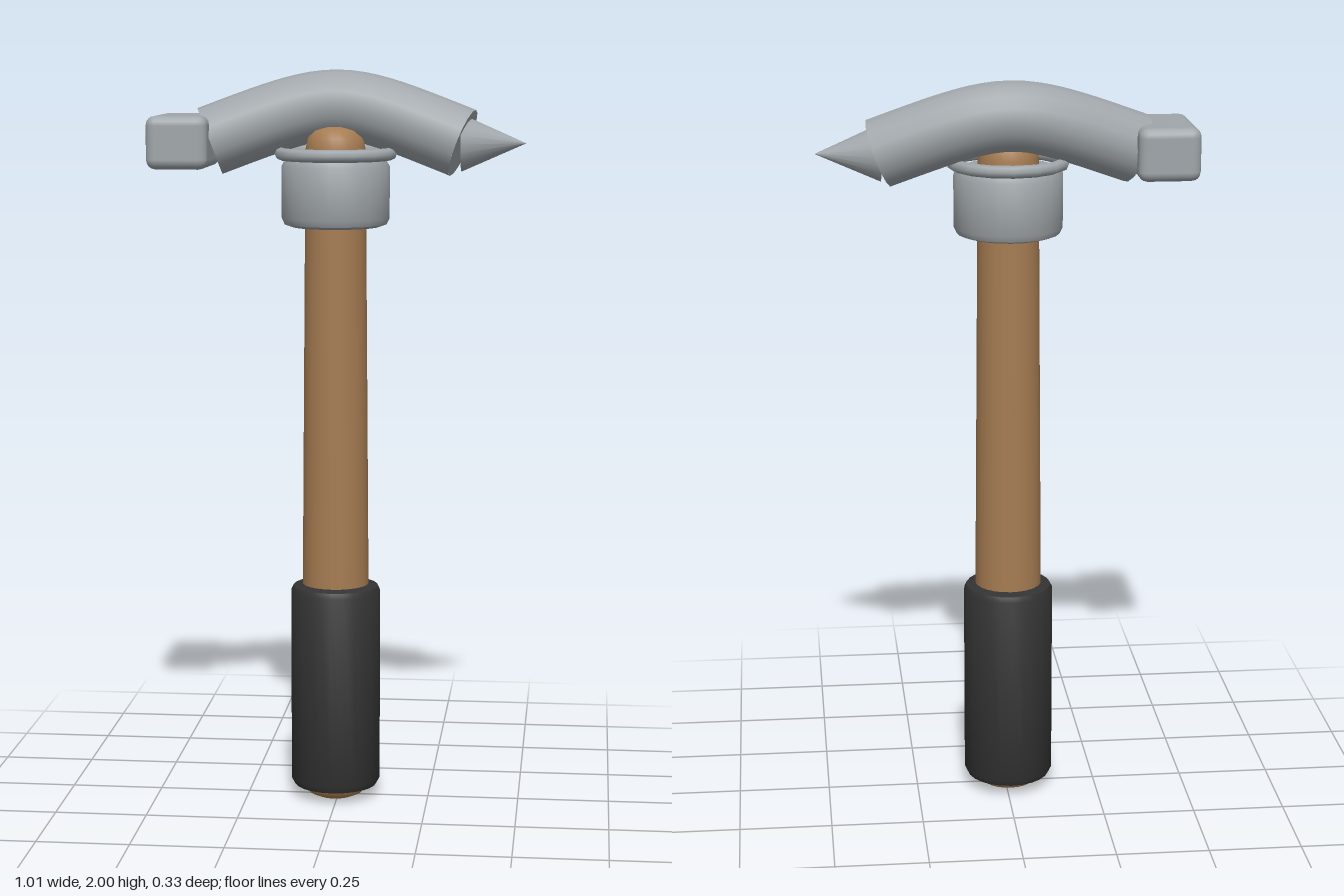
import * as THREE from 'three';
import { toCreasedNormals } from 'three/addons/utils/BufferGeometryUtils.js';
import { RoundedBoxGeometry } from 'three/addons/geometries/RoundedBoxGeometry.js';

const AXIS_X = -0.008; // handle centre line

const material = (name, color) => {
  const m = new THREE.MeshStandardMaterial({ color });
  m.name = name;
  return m;
};

export function createModel() {
  const group = new THREE.Group();
  const wood = material('wood', 0xa67c52);
  const steel = material('steel', 0xa0a6aa);
  const rubber = material('rubber', 0x333333);

  const add = (name, geometry, mat, x = 0, y = 0, z = 0) => {
    const mesh = new THREE.Mesh(geometry, mat);
    mesh.name = name;
    mesh.position.set(x, y, z);
    group.add(mesh);
    return mesh;
  };
  // turned part, profile listed from bottom to top as [radius, height]
  const turned = (name, profile, mat) => {
    const points = profile.map(([r, y]) => new THREE.Vector2(r, y));
    const g = toCreasedNormals(new THREE.LatheGeometry(points, 24), 0.6);
    return add(name, g, mat, AXIS_X);
  };

  // Wooden handle with a rounded top
  turned('handle', [
    [0, 0], [0.052, 0], [0.074, 0.01], [0.088, 0.03], [0.092, 0.06], [0.091, 0.6],
    [0.083, 1.58], [0.081, 1.79], [0.075, 1.82], [0.06, 1.84], [0.035, 1.85], [0, 1.852],
  ], wood);

  // Rubber grip
  turned('grip', [
    [0, 0.03], [0.1, 0.03], [0.114, 0.034], [0.123, 0.052],
    [0.123, 0.582], [0.116, 0.596], [0.1, 0.602], [0, 0.602],
  ], rubber);

  // Steel collar and its rim
  turned('collar', [
    [0, 1.583], [0.118, 1.583], [0.138, 1.59], [0.146, 1.607],
    [0.146, 1.745], [0.138, 1.76], [0.12, 1.766], [0, 1.766],
  ], steel);
  const rim = new THREE.TorusGeometry(0.148, 0.017, 8, 16);
  rim.rotateX(Math.PI / 2);
  add('collarRim', rim, steel, AXIS_X, 1.778);

  // Arched head, bowed up and back
  const arch = new THREE.CubicBezierCurve3(
    new THREE.Vector3(-0.348, 1.81, -0.003),
    new THREE.Vector3(-0.008, 1.939, -0.057),
    new THREE.Vector3(-0.008, 1.939, -0.057),
    new THREE.Vector3(0.333, 1.808, -0.003),
  );
  add('head', new THREE.TubeGeometry(arch, 24, 0.094, 16), steel);
  for (const [t, sign] of [[0, -1], [1, 1]]) {
    const cap = add('headEnd', new THREE.CircleGeometry(0.094, 16), steel);
    cap.position.copy(arch.getPoint(t));
    const outward = arch.getTangent(t).multiplyScalar(sign);
    cap.quaternion.setFromUnitVectors(new THREE.Vector3(0, 0, 1), outward);
  }

  // Pointed pick
  const pick = new THREE.ConeGeometry(0.076, 0.172, 20);
  pick.rotateZ(-Math.PI / 2);
  add('pick', pick, steel, 0.416, 1.808);

  // Striking block
  add('strikingBlock', new RoundedBoxGeometry(0.166, 0.142, 0.268, 2, 0.026), steel, -0.421, 1.81, -0.002);

  return group;
}
